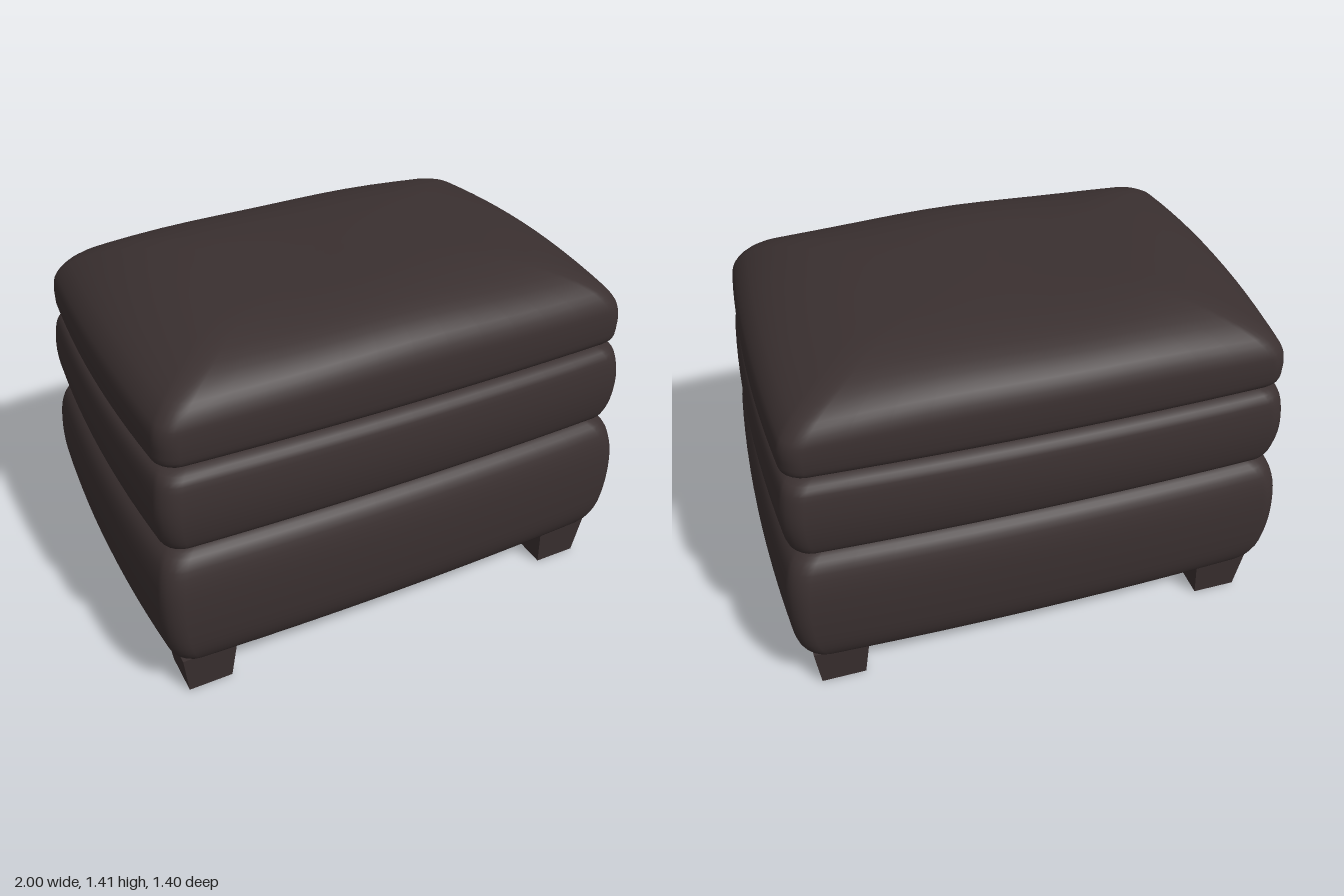
import * as THREE from 'three';

const leather = new THREE.MeshStandardMaterial({ color: 0x3a3030 });
leather.name = 'dark leather';
const lining = new THREE.MeshStandardMaterial({ color: 0x5a4832 });
lining.name = 'brown lining';

// Rounded rectangle, half sizes hx and hz, with gently bowed sides (counter-clockwise from above)
function outline(hx, hz) {
  const r = Math.min(0.07, hx * 0.3, hz * 0.3);
  const corners = [[1, -1, 0], [-1, -1, 1], [-1, 1, 2], [1, 1, 3]];
  const arcs = corners.map(([sx, sz, q]) => {
    const pts = [];
    for (let i = 0; i <= 5; i++) {
      const a = (q + i / 5) * Math.PI / 2;
      pts.push([sx * (hx - r) + r * Math.cos(a), sz * (hz - r) - r * Math.sin(a)]);
    }
    return pts;
  });
  const loop = [];
  arcs.forEach((arc, k) => {
    loop.push(...arc);
    const a = arc[5], b = arcs[(k + 1) % 4][0];
    for (let i = 1; i < 12; i++) {
      const t = i / 12;
      loop.push([a[0] + (b[0] - a[0]) * t, a[1] + (b[1] - a[1]) * t]);
    }
  });
  return loop.map(([x, z]) => [x * (1 - 0.035 * (z / hz) ** 2), z * (1 - 0.035 * (x / hx) ** 2)]);
}

// Skin through outlines given as [height, half width, half depth]
function cushion(name, rows, bend = (x, y, z) => y) {
  // Smooth the profile with a curve
  const curve = new THREE.CatmullRomCurve3(
    rows.map(([y, hx, hz]) => new THREE.Vector3(hx, y, hz)), false, 'centripetal');
  const steps = (rows.length - 1) * 3;
  const pos = [], index = [];
  let n = 0;
  for (let j = 0; j <= steps; j++) {
    const p = curve.getPoint(j / steps);
    const loop = outline(p.x, p.z);
    n = loop.length;
    loop.forEach(([x, z]) => pos.push(x, bend(x, p.y, z), z));
  }
  for (let j = 0; j < steps; j++) {
    for (let i = 0; i < n; i++) {
      const a = j * n + i, b = j * n + (i + 1) % n;
      index.push(a, b, b + n, a, b + n, a + n);
    }
  }
  // Close both ends with a centre point
  const bottom = pos.length / 3, top = bottom + 1, last = steps * n;
  pos.push(0, bend(0, rows[0][0], 0), 0, 0, bend(0, rows[rows.length - 1][0], 0), 0);
  for (let i = 0; i < n; i++) {
    const k = (i + 1) % n;
    index.push(bottom, k, i, top, last + i, last + k);
  }
  const geo = new THREE.BufferGeometry();
  geo.setAttribute('position', new THREE.Float32BufferAttribute(pos, 3));
  geo.setIndex(index);
  geo.computeVertexNormals();
  const mesh = new THREE.Mesh(geo, leather);
  mesh.name = name;
  return mesh;
}

// Square foot, wider at the top
function foot(name, x, z) {
  const geo = new THREE.BoxGeometry(0.215, 0.18, 0.215);
  const p = geo.attributes.position;
  for (let i = 0; i < p.count; i++) {
    if (p.getY(i) < 0) {
      p.setX(i, p.getX(i) * 0.81);
      p.setZ(i, p.getZ(i) * 0.81);
    }
  }
  geo.computeVertexNormals();
  const mesh = new THREE.Mesh(geo, leather);
  mesh.name = name;
  mesh.position.set(x, 0.09, z);
  return mesh;
}

export function createModel() {
  const group = new THREE.Group();
  group.name = 'ottoman';

  group.add(cushion('baseBody', [
    [0.178, 0.84, 0.55], [0.178, 0.91, 0.615], [0.2, 0.945, 0.65], [0.27, 0.978, 0.683],
    [0.38, 0.997, 0.697], [0.5, 1.0, 0.7], [0.6, 0.99, 0.692], [0.675, 0.965, 0.668],
    [0.712, 0.92, 0.625], [0.718, 0.87, 0.57],
  ]));

  group.add(cushion('middleCushion', [
    [0.715, 0.87, 0.57], [0.722, 0.92, 0.62], [0.738, 0.95, 0.652], [0.79, 0.968, 0.67],
    [0.88, 0.977, 0.681], [0.97, 0.97, 0.676], [1.03, 0.953, 0.66],
    [1.055, 0.92, 0.62], [1.06, 0.87, 0.57],
  ]));

  // Domed seat whose corners droop and whose back is slightly lower
  const sag = (x, y, z) => {
    const t = Math.max(0, (y - 1.1) / 0.31);
    const corner = Math.min(1, Math.abs(x * z) / 0.6);
    return y - t * (0.05 * corner ** 2 - 0.015 * z) + 0.004 * t * Math.sin(7 * x + 2 * z);
  };
  group.add(cushion('seatCushion', [
    [1.055, 0.87, 0.57], [1.064, 0.92, 0.62], [1.09, 0.952, 0.652], [1.14, 0.955, 0.66],
    [1.2, 0.953, 0.66], [1.25, 0.938, 0.653], [1.31, 0.885, 0.62], [1.365, 0.765, 0.525],
    [1.397, 0.61, 0.38], [1.407, 0.4, 0.23], [1.409, 0.12, 0.07],
  ], sag));

  // Lining under the base
  const panel = new THREE.Mesh(new THREE.BoxGeometry(1.74, 0.008, 1.15), lining);
  panel.name = 'undersidePanel';
  panel.position.y = 0.174;
  group.add(panel);

  for (const [sx, side] of [[1, 'Left'], [-1, 'Right']]) {
    for (const [sz, end] of [[1, 'front'], [-1, 'back']]) {
      group.add(foot(end + side + 'Foot', sx * 0.797, sz * 0.497));
    }
  }
  return group;
}
